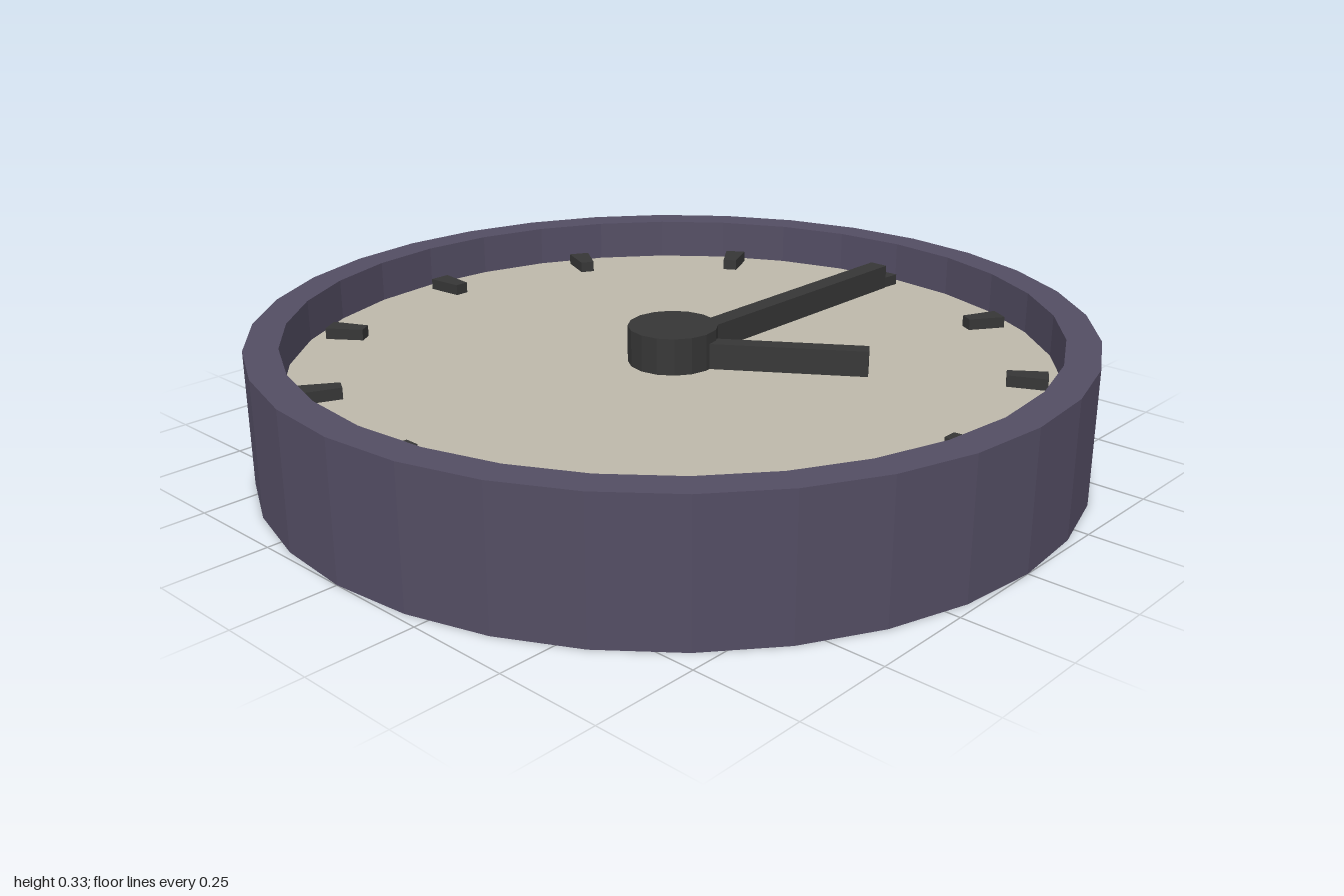
import * as THREE from 'three';

const DIAL_Y = 0.223;
const mat = (color) => new THREE.MeshStandardMaterial({ color, flatShading: true });

export function createModel() {
  const clock = new THREE.Group();
  clock.name = 'clock';
  const rimMat = mat(0x534d63), dialMat = mat(0xbdb8aa), darkMat = mat(0x363636);

  const add = (name, geometry, material) => {
    const mesh = new THREE.Mesh(geometry, material);
    mesh.name = name;
    clock.add(mesh);
    return mesh;
  };

  // Casing: closed back, outer wall, flat rim and inner wall down to the dial
  const profile = [[0, 0], [1, 0], [1, 0.326], [0.92, 0.326], [0.92, DIAL_Y]]
    .map(([r, y]) => new THREE.Vector2(r, y));
  add('casing', new THREE.LatheGeometry(profile, 32), rimMat);

  // Dial face
  const dial = new THREE.CircleGeometry(0.92, 32).rotateX(-Math.PI / 2);
  add('dial', dial, dialMat).position.y = DIAL_Y;

  // Hour marks: small wedges, wider toward the rim
  const wedge = new THREE.Shape([[-0.018, 0.79], [0.018, 0.79], [0.027, 0.885], [-0.027, 0.885]]
    .map(([x, y]) => new THREE.Vector2(x, y)));
  const markGeo = new THREE.ExtrudeGeometry(wedge, { depth: 0.028, bevelEnabled: false })
    .rotateX(-Math.PI / 2);
  for (let i = 0; i < 12; i++) {
    const mark = add('hourMark' + (i || 12), markGeo, darkMat);
    mark.position.y = DIAL_Y;
    // marks between the quarters sit slightly early
    mark.rotation.y = -i * Math.PI / 6 + (i % 3 ? 0.018 : 0);
  }

  // Hands: bars laid from one dial point to another
  const addHand = (name, x0, z0, x1, z1, width) => {
    const length = Math.hypot(x1 - x0, z1 - z0);
    const hand = add(name, new THREE.BoxGeometry(length, 0.064, width), darkMat);
    hand.position.set((x0 + x1) / 2, DIAL_Y + 0.031, (z0 + z1) / 2);
    hand.rotation.y = -Math.atan2(z1 - z0, x1 - x0);
  };
  addHand('minuteHand', 0, 0, 0, -0.837, 0.05);
  addHand('hourHand', 0.05, 0, 0.404, -0.243, 0.042);

  // Centre hub
  add('hub', new THREE.CylinderGeometry(0.109, 0.109, 0.09, 16), darkMat).position.y = DIAL_Y + 0.045;

  return clock;
}
